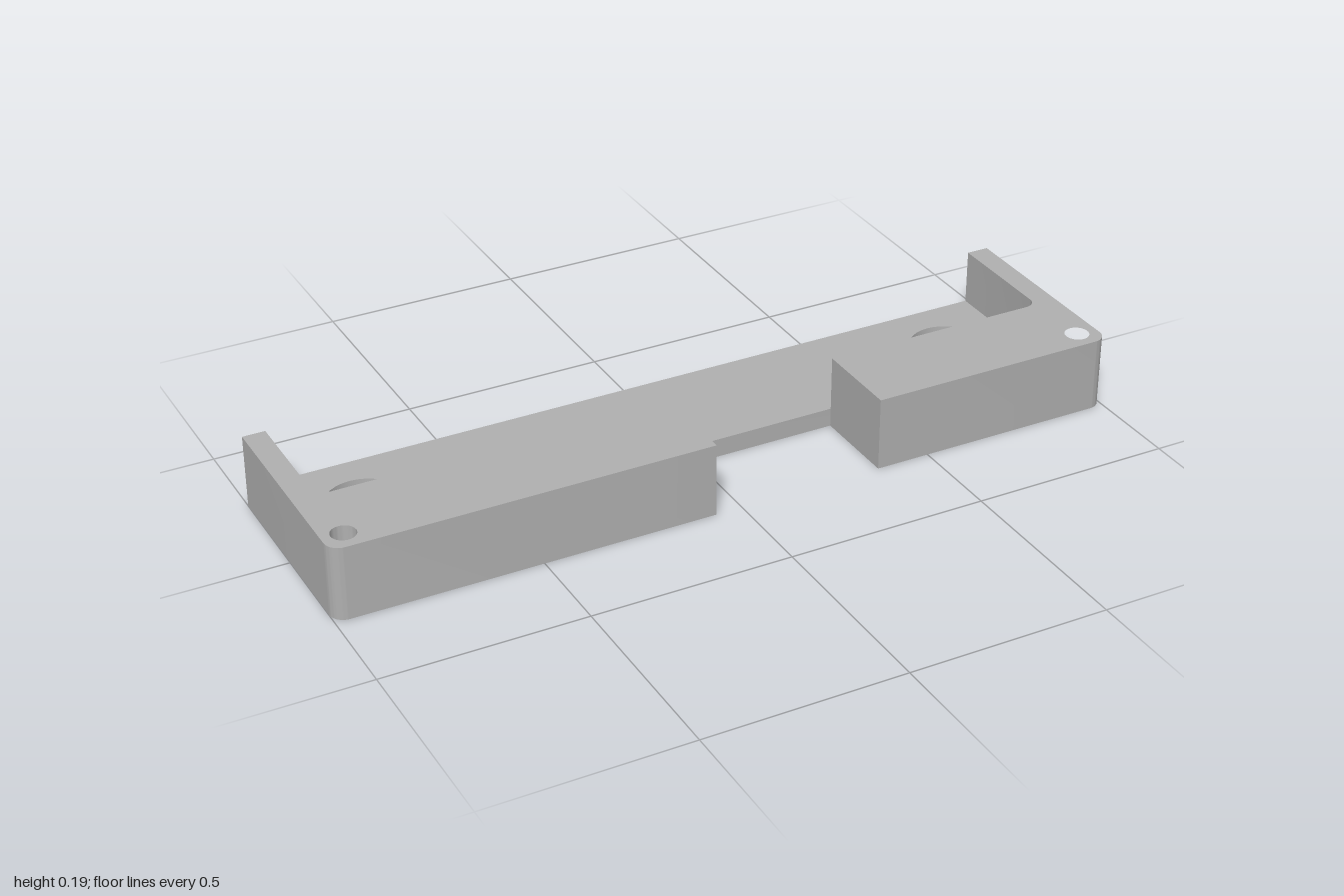
import * as THREE from 'three';
import { toCreasedNormals } from 'three/addons/utils/BufferGeometryUtils.js';

const BACK = -0.267, FRONT = 0.267, INNER_X = 0.944, INNER_Z = 0.044;
const HEIGHT = 0.185, FLOOR = 0.047, OUTER_R = 0.036, INNER_R = 0.03;

// Plan outlines are drawn in (x, -z) and extruded upwards from y = 0.
function extrudeUp(shape, height) {
  const geometry = new THREE.ExtrudeGeometry(shape, { depth: height, bevelEnabled: false, curveSegments: 16 });
  geometry.rotateX(-Math.PI / 2);
  return toCreasedNormals(geometry, 0.6);
}

// Quarter-circle corner from (x0, y0) to (x1, y1) around the sharp corner (cx, cy).
function roundCorner(shape, x0, y0, cx, cy, x1, y1) {
  const k = 0.5523;
  shape.lineTo(x0, y0);
  shape.bezierCurveTo(
    x0 + (cx - x0) * k, y0 + (cy - y0) * k,
    x1 + (cx - x1) * k, y1 + (cy - y1) * k, x1, y1);
}

function addHole(shape, x, z, radius) {
  shape.holes.push(new THREE.Path().absarc(x, -z, radius, 0, Math.PI * 2, true));
}

// L-shaped wall: thin side arm plus a thick front block ending at endX.
function wallGeometry(side, endX) {
  const s = new THREE.Shape();
  s.moveTo(side, -BACK);
  roundCorner(s, side, -FRONT + OUTER_R, side, -FRONT, side * (1 - OUTER_R), -FRONT);
  s.lineTo(endX, -FRONT);
  s.lineTo(endX, -INNER_Z);
  roundCorner(s, side * (INNER_X - INNER_R), -INNER_Z, side * INNER_X, -INNER_Z,
    side * INNER_X, -INNER_Z + INNER_R);
  s.lineTo(side * INNER_X, -BACK);
  s.closePath();
  addHole(s, side * 0.947, 0.213, 0.03);
  return extrudeUp(s, HEIGHT);
}

// Thin floor with two large round openings, fitted inside the walls.
function floorGeometry() {
  const s = new THREE.Shape();
  s.moveTo(-INNER_X, -BACK);
  roundCorner(s, -INNER_X, -INNER_Z + INNER_R, -INNER_X, -INNER_Z, -INNER_X + INNER_R, -INNER_Z);
  roundCorner(s, INNER_X - INNER_R, -INNER_Z, INNER_X, -INNER_Z, INNER_X, -INNER_Z + INNER_R);
  s.lineTo(INNER_X, -BACK);
  s.closePath();
  for (const side of [-1, 1]) addHole(s, side * 0.78, -0.094, 0.094);
  return extrudeUp(s, FLOOR);
}

export function createModel() {
  const model = new THREE.Group();
  model.name = 'mountingTray';
  const grey = new THREE.MeshStandardMaterial({ color: 0xb0b0b0 });
  grey.name = 'grey';

  const add = (name, geometry) => {
    const mesh = new THREE.Mesh(geometry, grey);
    mesh.name = name;
    model.add(mesh);
  };
  add('floor', floorGeometry());
  add('rightWall', wallGeometry(-1, -0.067));
  add('leftWall', wallGeometry(1, 0.364));
  return model;
}
